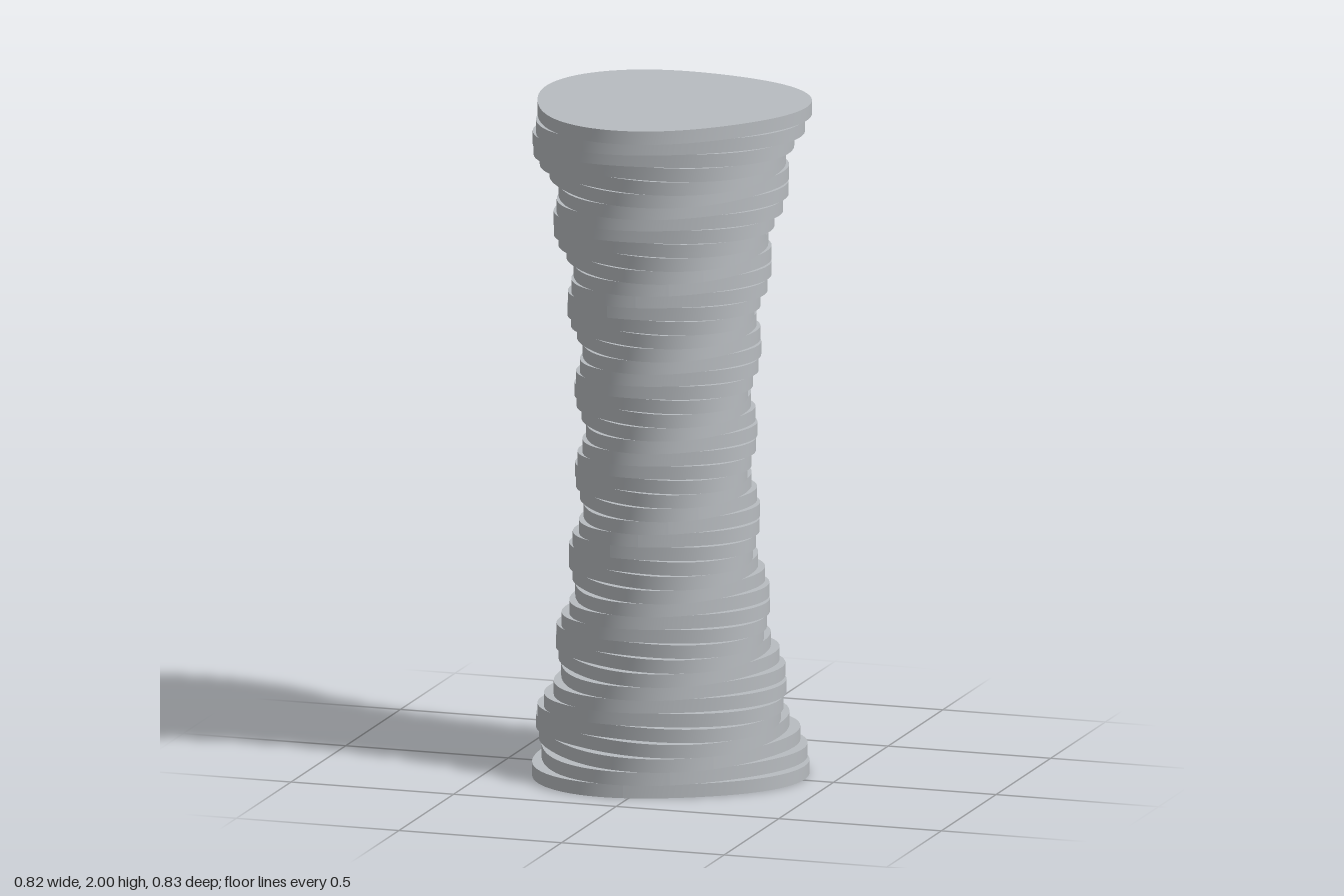
import * as THREE from 'three';

const LAYERS = 50;
const HEIGHT = 2 / LAYERS;
const TWIST = THREE.MathUtils.degToRad(20);

// One thin slab with a soft three-lobed outline, lobe pointing at +x
function slabGeometry() {
  const geo = new THREE.CylinderGeometry(1, 1, HEIGHT, 96);
  const pos = geo.attributes.position;
  for (let i = 0; i < pos.count; i++) {
    const x = pos.getX(i), z = pos.getZ(i);
    const k = 1 + 0.06 * Math.cos(3 * Math.atan2(z, x));
    pos.setXYZ(i, x * k, pos.getY(i), z * k);
  }
  geo.computeVertexNormals();
  return geo;
}

export function createModel() {
  const model = new THREE.Group();
  model.name = 'twistedColumn';
  const stone = new THREE.MeshStandardMaterial({ color: 0xb8bcc0 });
  stone.name = 'pale grey';
  const slab = slabGeometry();

  // Stack of slabs, each turned a step further, narrowest at mid height
  for (let i = 0; i < LAYERS; i++) {
    const t = (2 * i) / (LAYERS - 1) - 1;
    const radius = 0.25 + 0.15 * t * t;
    const layer = new THREE.Mesh(slab, stone);
    layer.name = `slab${i + 1}`;
    layer.scale.set(radius, 1, radius);
    layer.rotation.y = i * TWIST;
    // small shift centres the uneven lobes on the axis
    layer.position.set(-0.016, (i + 0.5) * HEIGHT, -0.008);
    model.add(layer);
  }
  return model;
}
